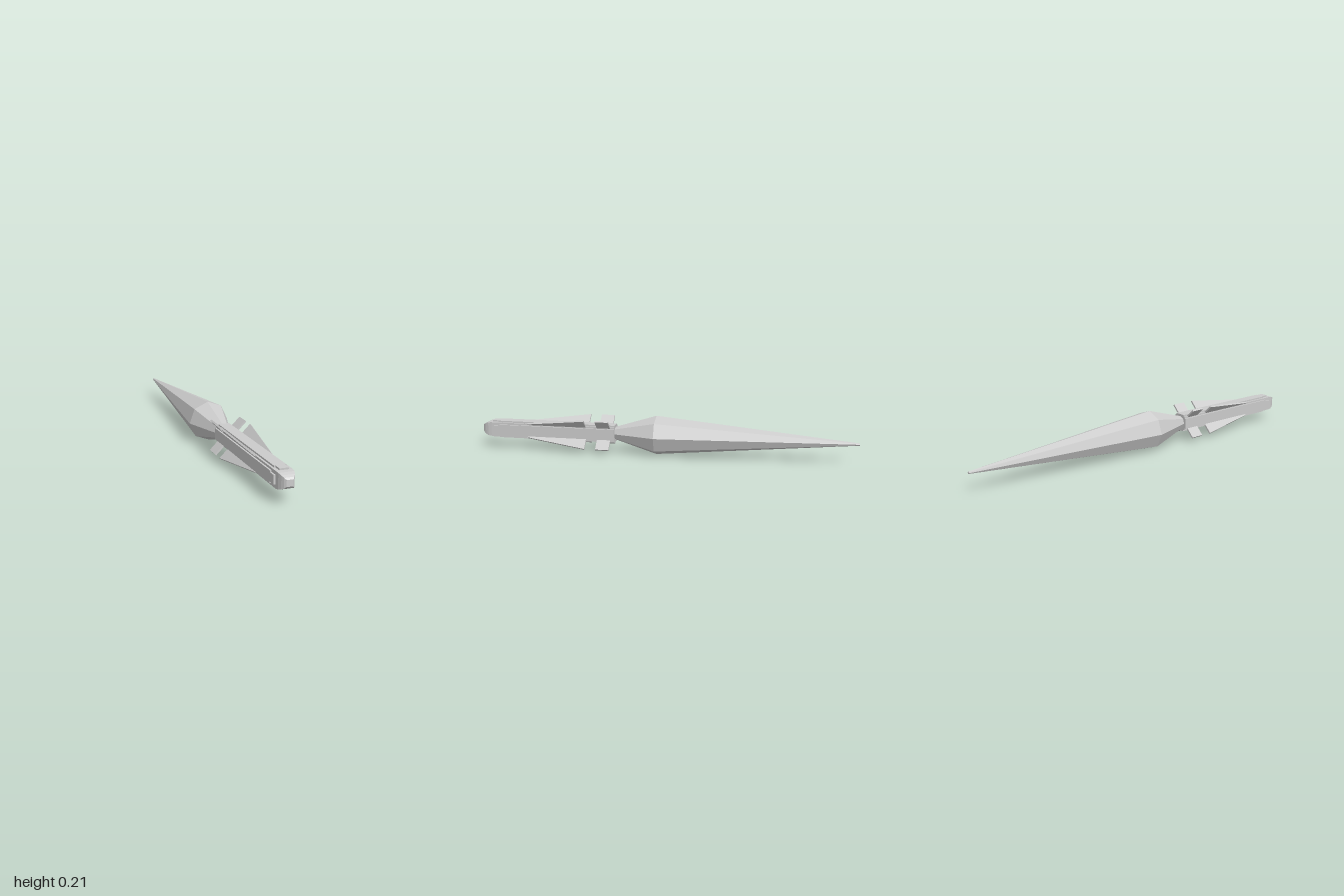
import * as THREE from 'three';

const CY = 0.105; // height of the long axis

export function createModel() {
  const root = new THREE.Group();
  const body = new THREE.Group();
  body.position.y = CY;
  root.add(body);
  const mat = new THREE.MeshStandardMaterial({ color: 0xcccccc, flatShading: true });

  const add = (name, geometry, parent = body) => {
    const mesh = new THREE.Mesh(geometry, mat);
    mesh.name = name;
    parent.add(mesh);
    return mesh;
  };
  // Box spanning z0..z1
  const bar = (w, h, z0, z1, y = 0) =>
    new THREE.BoxGeometry(w, h, z1 - z0).translate(0, y, (z0 + z1) / 2);
  // Faceted profile of [radius, z] turned about the long axis
  const turned = (profile, sides, start) =>
    new THREE.LatheGeometry(profile.map(([r, z]) => new THREE.Vector2(r, z)), sides, start)
      .rotateX(Math.PI / 2);

  // Square core and stepped-in nose
  add('core', bar(0.076, 0.076, 0.26, 0.945));
  const nose = [[0.038, 0.945], [0.036, 0.965], [0.03, 0.981], [0.023, 0.993], [0.015, 1], [0, 1]];
  add('nose', turned(nose.map(([h, z]) => [h * Math.SQRT2, z]), 4, Math.PI / 4));

  // Raised panel on each of the four sides, narrower at the front
  for (let i = 0; i < 4; i++) {
    const side = new THREE.Group();
    side.name = 'sidePanel';
    side.rotation.z = i * Math.PI / 2;
    add('panel', bar(0.056, 0.012, 0.26, 0.905, 0.04), side);
    add('panelFront', bar(0.042, 0.012, 0.905, 0.943, 0.04), side);
    body.add(side);
  }

  // Thin fins on the diagonals: outline in (radius, z), thickness across
  const finGeometry = (points) => {
    const shape = new THREE.Shape(points.map(([r, z]) => new THREE.Vector2(r, z)));
    return new THREE.ExtrudeGeometry(shape, { depth: 0.009, bevelEnabled: false })
      .translate(0, 0, -0.0045)
      .rotateX(Math.PI / 2);
  };
  const longFin = finGeometry([[0.03, 0.415], [0.109, 0.415], [0.055, 0.74], [0.03, 0.74]]);
  const shortFin = finGeometry([[0.03, 0.283], [0.109, 0.283], [0.109, 0.355], [0.03, 0.355]]);
  for (let i = 0; i < 4; i++) {
    const angle = Math.PI / 4 + i * Math.PI / 2;
    add('longFin', longFin).rotation.z = angle;
    add('shortFin', shortFin).rotation.z = angle;
  }

  // Eight-sided exhaust plume
  add('exhaustPlume', turned(
    [[0, -1], [0.006, -1], [0.103, 0.04], [0.034, 0.262], [0, 0.262]], 8, 0.045));

  return root;
}
